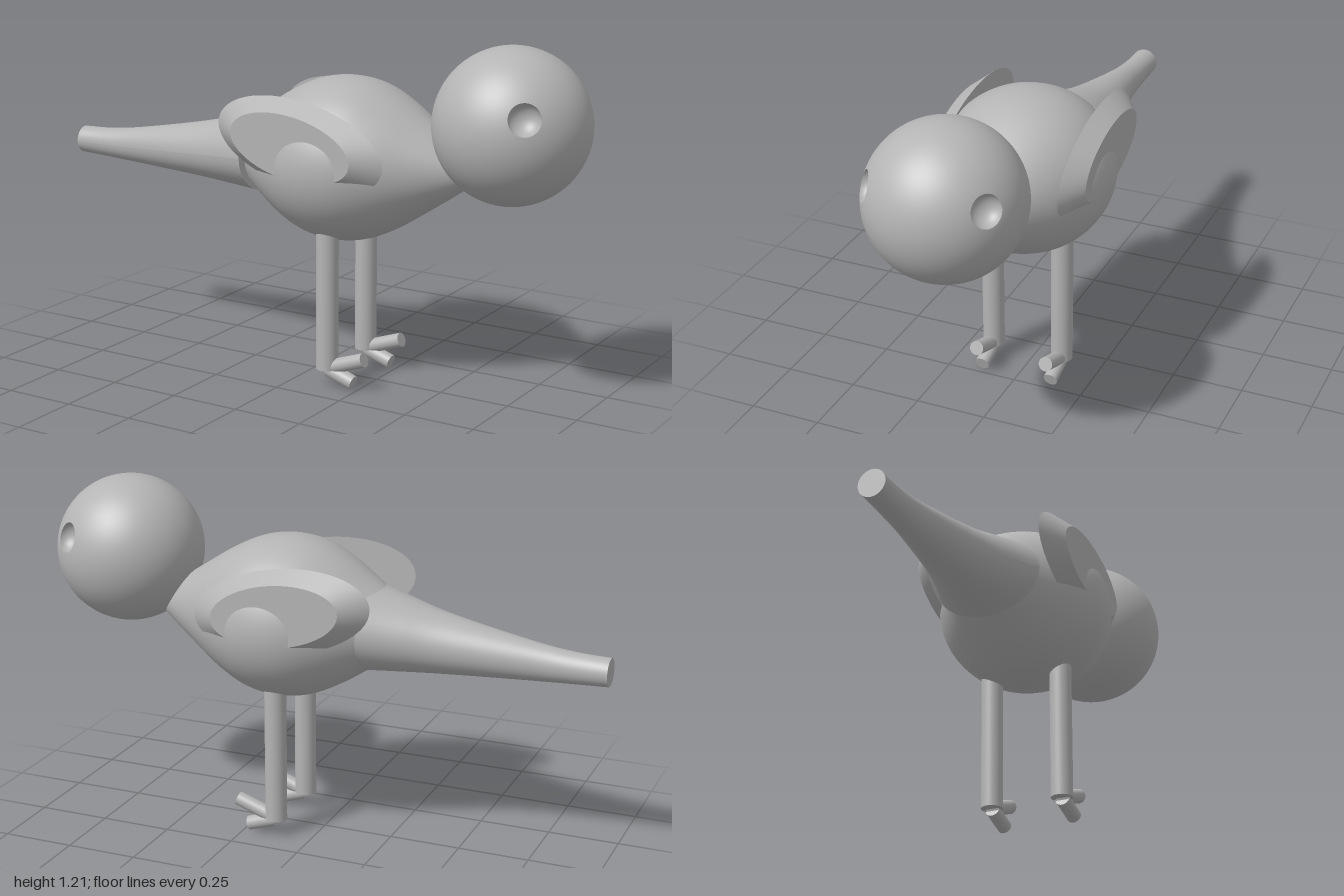
import * as THREE from 'three';

const V = (x, y, z) => new THREE.Vector3(x, y, z);
const UP = V(0, 1, 0);

export function createModel() {
  const bird = new THREE.Group();
  bird.name = 'bird';
  const grey = new THREE.MeshStandardMaterial({ color: 0xb4b4b4 });
  grey.name = 'plain grey';

  const add = (name, geometry) => {
    const mesh = new THREE.Mesh(geometry, grey);
    mesh.name = name;
    bird.add(mesh);
    return mesh;
  };

  // Solid cylinder between two points
  const rod = (name, a, b, r) => {
    const mesh = add(name, new THREE.CylinderGeometry(r, r, a.distanceTo(b), 32));
    mesh.position.copy(a).lerp(b, 0.5);
    mesh.quaternion.setFromUnitVectors(UP, b.clone().sub(a).normalize());
  };

  // Body: spindle lying along x, slightly wider than tall
  const half = [[0, 0.28], [0.1, 0.266], [0.2, 0.221], [0.31, 0.151], [0.39, 0.098], [0.47, 0.042], [0.53, 0.0]];
  const outline = [...half.slice(1).reverse().map(([t, r]) => [-t, r]), ...half];
  const profile = new THREE.SplineCurve(outline.map(([t, r]) => new THREE.Vector2(r, t))).getPoints(72);
  profile.forEach((p) => { p.x = Math.max(p.x, 0); });
  const bodyGeometry = new THREE.LatheGeometry(profile, 64);
  bodyGeometry.rotateZ(-Math.PI / 2).scale(1, 1, 1.075).translate(0.13, 0.78, 0);
  add('body', bodyGeometry);

  // Tail: flared elliptical sections [x, bottom, top, half width], closed at both ends
  const sections = [
    [-1, 0.67, 0.766, 0.048], [-0.87, 0.664, 0.772, 0.05], [-0.72, 0.657, 0.793, 0.062],
    [-0.45, 0.644, 0.845, 0.107], [-0.3, 0.636, 0.885, 0.15], [-0.185, 0.63, 0.918, 0.193],
  ];
  const track = (k) => new THREE.SplineCurve(sections.map((s) => new THREE.Vector2(s[0], s[k])));
  const [bottom, top, width] = [track(1), track(2), track(3)];
  const tailGeometry = new THREE.CylinderGeometry(1, 1, 1, 48, 32);
  const tp = tailGeometry.attributes.position;
  for (let i = 0; i < tp.count; i++) {
    const t = THREE.MathUtils.clamp(tp.getY(i) + 0.5, 0, 1);
    const lo = bottom.getPoint(t), hi = top.getPoint(t), w = width.getPoint(t);
    tp.setXYZ(i, lo.x, (lo.y + hi.y) / 2 - tp.getX(i) * (hi.y - lo.y) / 2, tp.getZ(i) * w.y);
  }
  tailGeometry.computeVertexNormals();
  add('tail', tailGeometry);

  // Head: two half spheres, each spread out from the rim of its eye socket
  const centre = V(0.741, 0.954, 0), R = 0.259, socket = 0.053;
  const rim = Math.asin(socket / R);
  for (const side of [1, -1]) {
    const label = side > 0 ? 'left' : 'right';
    const d = V(0.136, 0.067, 0.2 * side).normalize();
    const e1 = V(0, 1, 0).cross(d).normalize(), e2 = d.clone().cross(e1);
    const skin = new THREE.PlaneGeometry(1, 1, 96, 40);
    const p = skin.attributes.position, n = skin.attributes.normal;
    for (let i = 0; i < p.count; i++) {
      const a = (p.getX(i) + 0.5) * Math.PI * 2;
      const e = e1.clone().multiplyScalar(Math.cos(a)).addScaledVector(e2, Math.sin(a));
      const end = Math.atan2(Math.abs(d.z), -e.z * side);
      const t = THREE.MathUtils.lerp(end, rim, 0.5 - p.getY(i));
      const dir = d.clone().multiplyScalar(Math.cos(t)).addScaledVector(e, Math.sin(t));
      n.setXYZ(i, dir.x, dir.y, dir.z);
      p.setXYZ(i, dir.x * R, dir.y * R, dir.z * R);
    }
    // Make sure the corners run outward
    const idx = skin.index, A = V(), B = V(), C = V();
    const k = 3 * 96;
    A.fromBufferAttribute(p, idx.getX(k));
    B.fromBufferAttribute(p, idx.getX(k + 1));
    C.fromBufferAttribute(p, idx.getX(k + 2));
    if (B.clone().sub(A).cross(C.clone().sub(A)).dot(A) < 0) {
      for (let i = 0; i < idx.count; i += 3) {
        const s = idx.getX(i);
        idx.setX(i, idx.getX(i + 1));
        idx.setX(i + 1, s);
      }
    }
    add(label + 'Head', skin).position.copy(centre);

    // Eye socket: hollow bowl
    const bowl = [];
    for (let i = 0; i <= 14; i++) {
      const a = (i / 14) * Math.PI / 2;
      bowl.push(new THREE.Vector2(socket * Math.cos(a), -0.045 * Math.sin(a)));
    }
    const eye = add(label + 'EyeSocket', new THREE.LatheGeometry(bowl, 48));
    eye.position.copy(centre).addScaledVector(d, R * Math.cos(rim));
    eye.quaternion.setFromUnitVectors(UP, d);

    // Wing: bevelled oval plate, tilted down toward the front
    const wingGeometry = new THREE.CylinderGeometry(0.72, 1, 0.062, 64);
    wingGeometry.scale(0.322, 1, 0.148).rotateX(side * Math.PI / 2).rotateZ(-0.17);
    add(label + 'Wing', wingGeometry).position.set(0.07, 0.855, side * 0.249);

    // Leg with two toes
    const z = side * 0.13;
    rod(label + 'Leg', V(0.13, 0.065, z), V(0.13, 0.62, z), 0.038);
    rod(label + 'UpperToe', V(0.13, 0.068, z), V(0.275, 0.119, z), 0.025);
    rod(label + 'LowerToe', V(0.135, 0.063, z), V(0.233, 0.031, z), 0.025);
  }
  return bird;
}
